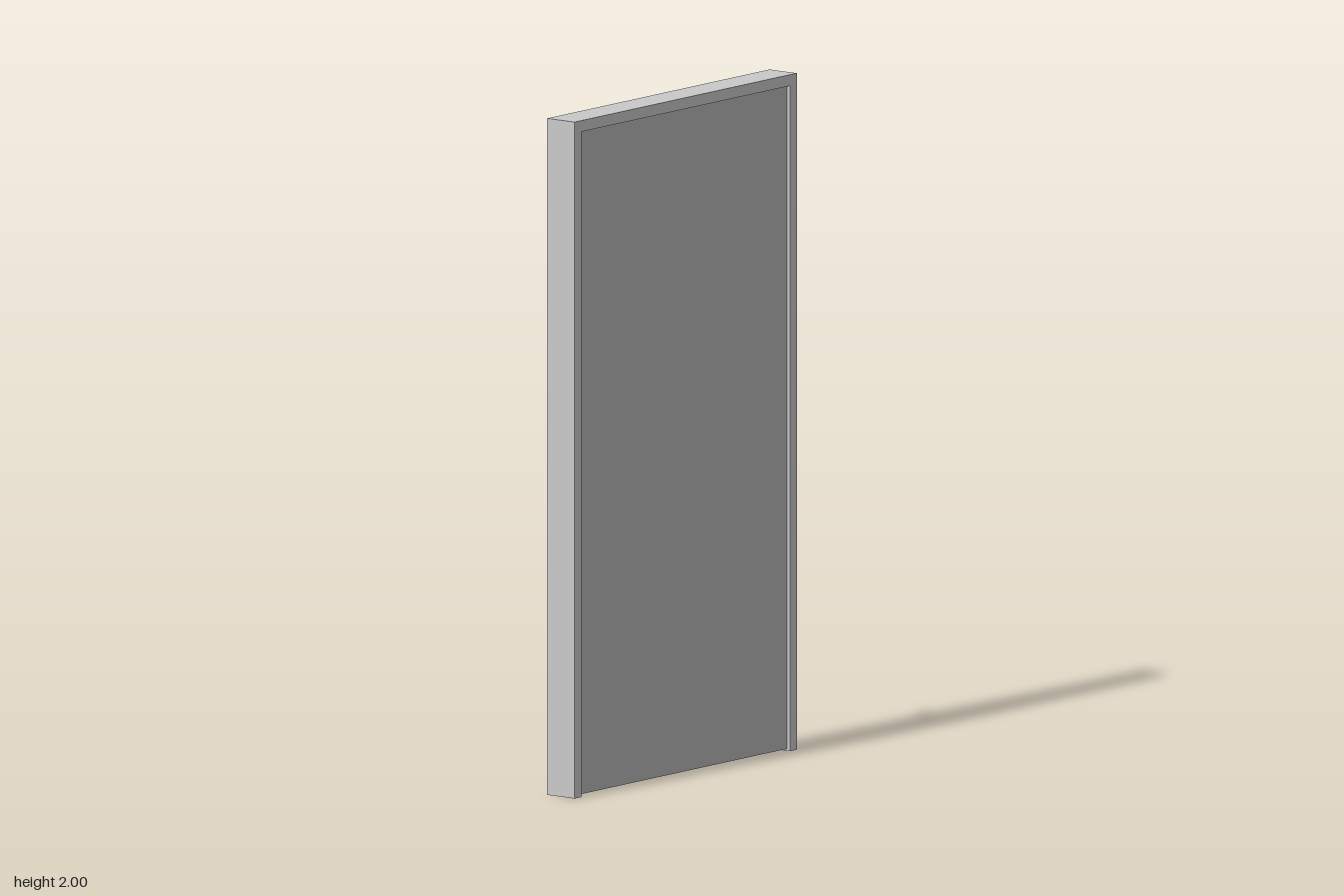
import * as THREE from 'three';

export function createModel() {
  const model = new THREE.Group();
  const material = (name, color) => {
    const m = new THREE.MeshStandardMaterial({ color });
    m.name = name;
    return m;
  };
  const framePaint = material('light grey frame', 0xc9c9c9);
  const doorPaint = material('grey door', 0xb7b7b7);
  const knobMetal = material('knob metal', 0xbcbcbc);

  const add = (name, geometry, mat) => {
    const mesh = new THREE.Mesh(geometry, mat);
    mesh.name = name;
    model.add(mesh);
    return mesh;
  };

  const height = 2, halfWidth = 0.524, border = 0.033;
  const backX = -0.034, frontX = 0.067, recess = 0.01, gap = 0.006;
  const innerHalf = halfWidth - border, innerTop = height - border;

  // Door frame: one upside-down U, extruded through the wall depth
  const outline = new THREE.Shape([
    [-halfWidth, 0], [-innerHalf, 0], [-innerHalf, innerTop], [innerHalf, innerTop],
    [innerHalf, 0], [halfWidth, 0], [halfWidth, height], [-halfWidth, height],
  ].map(([x, y]) => new THREE.Vector2(x, y)));
  const frameGeometry = new THREE.ExtrudeGeometry(outline, { depth: frontX - backX, bevelEnabled: false });
  frameGeometry.rotateY(Math.PI / 2);
  add('doorFrame', frameGeometry, framePaint).position.x = backX;

  // Door leaf, slightly recessed on both sides and clear of the floor
  const leaf = add('doorLeaf', new THREE.BoxGeometry(
    frontX - backX - 2 * recess, innerTop - gap, innerHalf * 2), doorPaint);
  leaf.position.set((frontX + backX) / 2, (innerTop + gap) / 2, 0);

  // Knob: flared neck and rounded disc, turned around the x axis
  const profile = [
    [0.022, 0], [0.022, 0.009], [0.019, 0.013], [0.022, 0.015], [0.027, 0.018],
    [0.03, 0.024], [0.03, 0.033], [0.027, 0.039], [0.021, 0.043], [0.012, 0.044], [0, 0.044],
  ].map(([r, y]) => new THREE.Vector2(r, y));
  const knobGeometry = new THREE.LatheGeometry(profile, 24);
  knobGeometry.rotateZ(Math.PI / 2);
  add('doorKnob', knobGeometry, knobMetal).position.set(backX + recess, 0.942, -0.449);

  return model;
}
